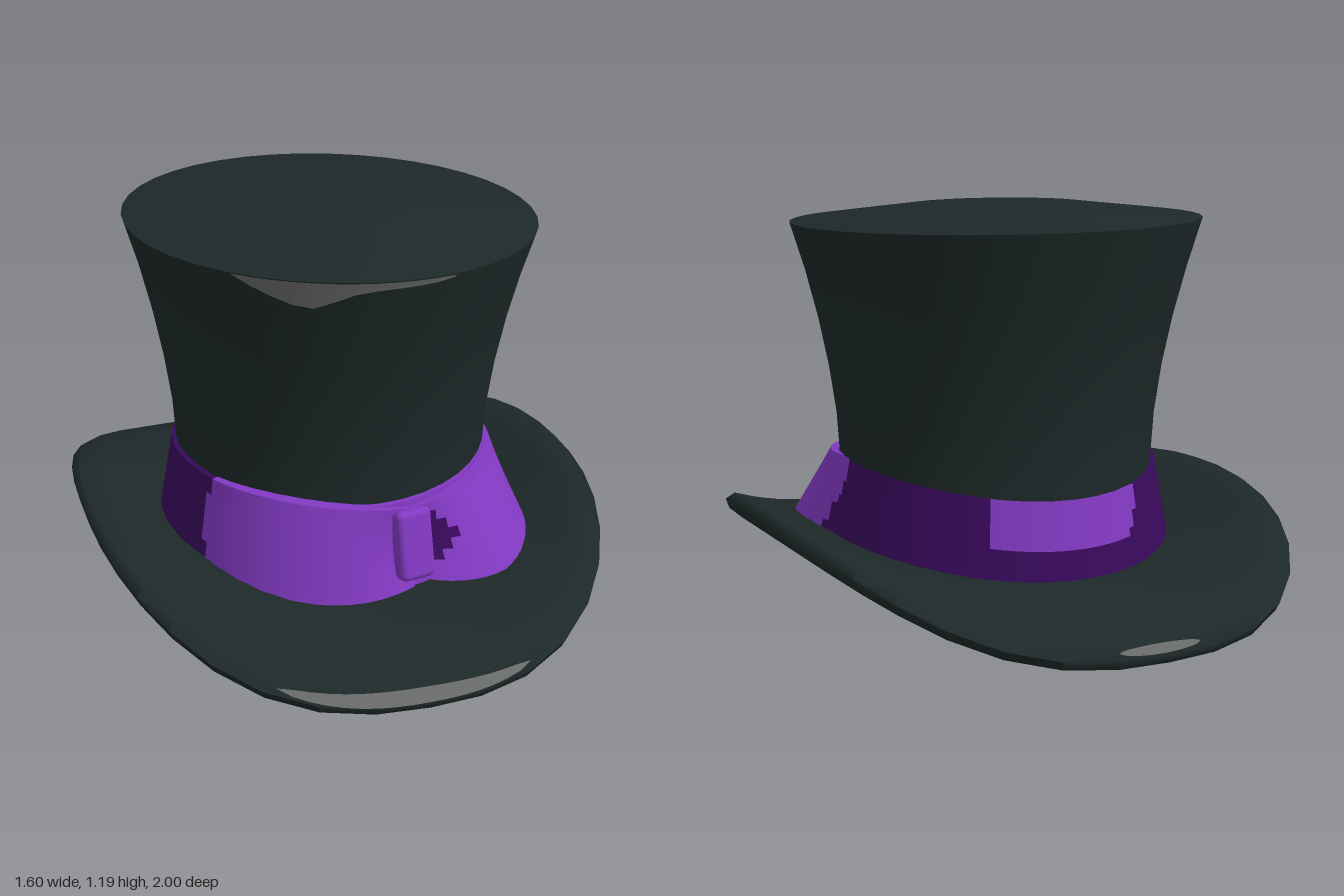
import * as THREE from 'three';
import { toCreasedNormals } from 'three/addons/utils/BufferGeometryUtils.js';
import { RoundedBoxGeometry } from 'three/addons/geometries/RoundedBoxGeometry.js';

const DEG = Math.PI / 180;
const lerp = THREE.MathUtils.lerp;

function flat(name, hex, side = THREE.FrontSide) {
  const m = new THREE.MeshStandardMaterial({ color: hex, side });
  m.name = name;
  return m;
}

// Surface through point(i, j): i runs around (+z towards +x), j runs down the outside
function loft(cols, rows, point, pick = () => 0, closed = false, crease = 0.7) {
  const n = closed ? cols : cols + 1;
  const pos = [];
  const buckets = [[], []];
  for (let j = 0; j <= rows; j++) for (let i = 0; i < n; i++) pos.push(...point(i, j));
  for (let j = 0; j < rows; j++) {
    for (let i = 0; i < cols; i++) {
      const a = j * n + i, b = j * n + (i + 1) % n, c = a + n, d = b + n;
      buckets[pick(i, j)].push(a, c, b, b, c, d);
    }
  }
  const geo = new THREE.BufferGeometry();
  geo.setAttribute('position', new THREE.Float32BufferAttribute(pos, 3));
  geo.setIndex([...buckets[0], ...buckets[1]]);
  geo.addGroup(0, buckets[0].length, 0);
  if (buckets[1].length) geo.addGroup(buckets[0].length, buckets[1].length, 1);
  return toCreasedNormals(geo, crease);
}

// Crown wall: height, half width, half depth, from the top edge down
const WALL = [
  [1.147, 0.624, 0.668], [1.0, 0.58, 0.62], [0.85, 0.544, 0.573], [0.7, 0.515, 0.537],
  [0.55, 0.494, 0.514], [0.4, 0.485, 0.503], [0.12, 0.512, 0.525],
];
function crownAt(phi, k, grow = 0) {
  const i = Math.min(Math.floor(k), WALL.length - 2), f = k - i;
  const [y, rx, rz] = WALL[i].map((v, c) => lerp(v, WALL[i + 1][c], f));
  const x = 0.008 + (rx + grow) * Math.sin(phi);
  const tilt = -0.018 * x * Math.max(0, (y - 0.4) / 0.75);
  return [x, y + tilt, -0.005 + (rz + grow) * Math.cos(phi)];
}

// Brim cross-section: fraction of the way out, offset from the middle surface
const BRIM = [
  [0, 0.03], [0.35, 0.036], [0.7, 0.04], [0.92, 0.033], [1, 0.004],
  [0.97, -0.024], [0.88, -0.038], [0.65, -0.042], [0.3, -0.036], [0, -0.026],
];
function brimAt(phi, k, grow = 0) {
  const i = Math.min(Math.floor(k), BRIM.length - 2), f = k - i;
  const t = lerp(BRIM[i][0], BRIM[i + 1][0], f), off = lerp(BRIM[i][1], BRIM[i + 1][1], f);
  const s = Math.sin(phi), c = Math.cos(phi);
  const rim = Math.pow(Math.abs(s / 0.8) ** 2.35 + Math.abs(c) ** 2.35, -1 / 2.35);
  const hole = 1 / Math.hypot(s / 0.508, c / 0.522);
  const r = lerp(hole, rim, t) + grow;
  const yRim = 0.034 + 0.252 * Math.abs(rim * s / 0.8) ** 3;
  const yHole = 0.104 + 0.045 * s * s;
  return [r * s, lerp(yHole, yRim, Math.pow(t, 1.15)) + off + grow, r * c];
}

// Ribbon surface: v = 0 at its top edge, 1 at its bottom edge
function ribbonRadius(phi, v) {
  return 1 / Math.hypot(Math.sin(phi) / lerp(0.493, 0.535, v), Math.cos(phi) / lerp(0.515, 0.555, v));
}
const ribbonBottom = (phi) => 0.122 + 0.07 * Math.sin(phi) ** 2;
const ribbonTop = (phi) => 0.38 + 0.02 * Math.cos(phi) + 0.048 * Math.sin(phi) ** 2;

// Bright areas of the ribbon: all over the front, and a patch high on the back
function isBright(deg, v) {
  const front = deg > -59 - 4 * Math.sin(Math.PI * v) && deg < 87 - 15 * Math.max(0, v - 0.25);
  const back = deg > 150 && deg < 206 - 22 * v * v && v < 0.64;
  return front || back;
}

export function createModel() {
  const felt = flat('dark felt', 0x1d2828);
  const worn = flat('worn grey', 0x686a68, THREE.DoubleSide);
  const violet = flat('bright purple', 0x8239c2, THREE.DoubleSide);
  const plum = flat('dark purple', 0x39095c, THREE.DoubleSide);
  const group = new THREE.Group();
  const add = (name, geo, mat) => {
    const mesh = new THREE.Mesh(geo, mat);
    mesh.name = name;
    group.add(mesh);
    return mesh;
  };

  // Crown with a slightly domed top
  const SEG = 40, angle = (i) => i / SEG * Math.PI * 2;
  const dome = [[0, 1.198], [0.45, 1.188]];
  add('crown', loft(SEG, WALL.length + 1, (i, j) => {
    if (j >= 2) return crownAt(angle(i), j - 2);
    const [x, , z] = crownAt(angle(i), 0), [s, y] = dome[j];
    return [x * s, y - 0.018 * x * s, z * s];
  }, undefined, true), felt);

  // Brim curling up at both sides, running on into the hollow crown up to its ceiling
  const inner = [5.45, 5, 4, 3, 2, 1, 0.2];
  add('brimAndLining', loft(SEG, BRIM.length + inner.length, (i, j) => {
    if (j < BRIM.length) return brimAt(angle(i), j);
    const k = inner[j - BRIM.length];
    return k === undefined ? [0, 1.13, 0] : crownAt(angle(i), k, -0.02);
  }, undefined, true, 1.35), felt);

  // Ribbon band
  const BAND = 144, BAND_ROWS = 11;
  add('ribbonBand', loft(BAND, BAND_ROWS, (i, j) => {
    const phi = i / BAND * Math.PI * 2, v = Math.max(0, (j - 1) / (BAND_ROWS - 1));
    const r = ribbonRadius(phi, v) - (j === 0 ? 0.025 : 0);
    return [r * Math.sin(phi), lerp(ribbonTop(phi), ribbonBottom(phi), v), r * Math.cos(phi)];
  }, (i, j) => {
    const deg = (i + 0.5) * 360 / BAND;
    return isBright(deg > 270 ? deg - 360 : deg, Math.max(0, (j - 0.5) / (BAND_ROWS - 1))) ? 1 : 0;
  }, true), [plum, violet]);

  // Bow wings flaring out from the knot, with a dark crease beside it
  const KNOT = 10.5, COLS = 24, ROWS = 10;
  function wing(name, dir, span, flare, lift, pinch) {
    const along = (i) => (dir > 0 ? i / COLS : 1 - i / COLS);
    add(name, loft(COLS, ROWS, (i, j) => {
      const u = along(i);
      const v = THREE.MathUtils.clamp((j - 1) / (ROWS - 2), 0, 1);
      const phi = (KNOT + dir * span * u) * DEG;
      const rimRow = j === 0 || j === ROWS;
      const swell = flare * Math.sin(Math.PI * Math.pow(u, 0.85)) ** 1.3 * lerp(0.15, 1, v);
      const fold = 0.022 * Math.exp(-30 * u * u) * Math.sin(Math.PI * v);
      const puff = 0.004 + 0.012 * (1 - u ** 4) - fold + swell;
      const r = ribbonRadius(phi, v) + (rimRow ? -0.025 + swell * 0.4 : puff);
      const top = lerp(0.383 + lift * Math.sin(u * Math.PI / 2), ribbonTop(phi) + 0.002, u ** 4);
      const bottom = ribbonBottom(phi) + 0.004 + pinch * (1 - u) ** 5;
      return [r * Math.sin(phi), lerp(top, bottom, v), r * Math.cos(phi)];
    }, (i, j) => {
      const crease = dir > 0 && i < 5 - Math.abs(j - 4) && j > 1 && j < 7;
      const deg = KNOT + dir * span * along(i + 0.5);
      return crease || !isBright(deg, (j - 0.5) / (ROWS - 2)) ? 1 : 0;
    }, false, 0.9), [violet, plum]);
  }
  wing('bowWingLeft', 1, 72, 0.135, 0.033, 0.045);
  wing('bowWingRight', -1, 70, 0.035, 0.058, 0.012);

  // Knot wrapped around the middle of the bow
  const knot = add('bowKnot', new RoundedBoxGeometry(0.115, 0.215, 0.07, 4, 0.02), violet);
  knot.position.set(0.1, 0.278, 0.54);
  knot.rotation.set(-0.2, KNOT * DEG, 0, 'YXZ');

  // Worn patches along the rim, tapering at both ends
  function rimWear(name, from, to, width) {
    const cols = 16;
    add(name, loft(cols, 2, (i, j) => {
      const w = width * Math.sqrt(Math.sin(Math.PI * i / cols) + 1e-9);
      return brimAt(lerp(from, to, i / cols) * DEG, 3.55 + (j - 1) * w, 0.003);
    }), worn);
  }
  rimWear('frontRimWear', -25, 19, 0.43);
  rimWear('backRimWear', 171, 186, 0.3);

  // Worn patch under the front edge of the crown
  const wear = [0, 0.2, 0.36, 0.5, 0.55, 0.4, 0.24, 0.17, 0.14, 0.12, 0.1, 0.04];
  add('crownEdgeWear', loft(wear.length - 1, 2, (i, j) =>
    crownAt(lerp(-43, 15, i / (wear.length - 1)) * DEG, 0.01 + wear[i] * j / 2, 0.004)), worn);

  return group;
}
